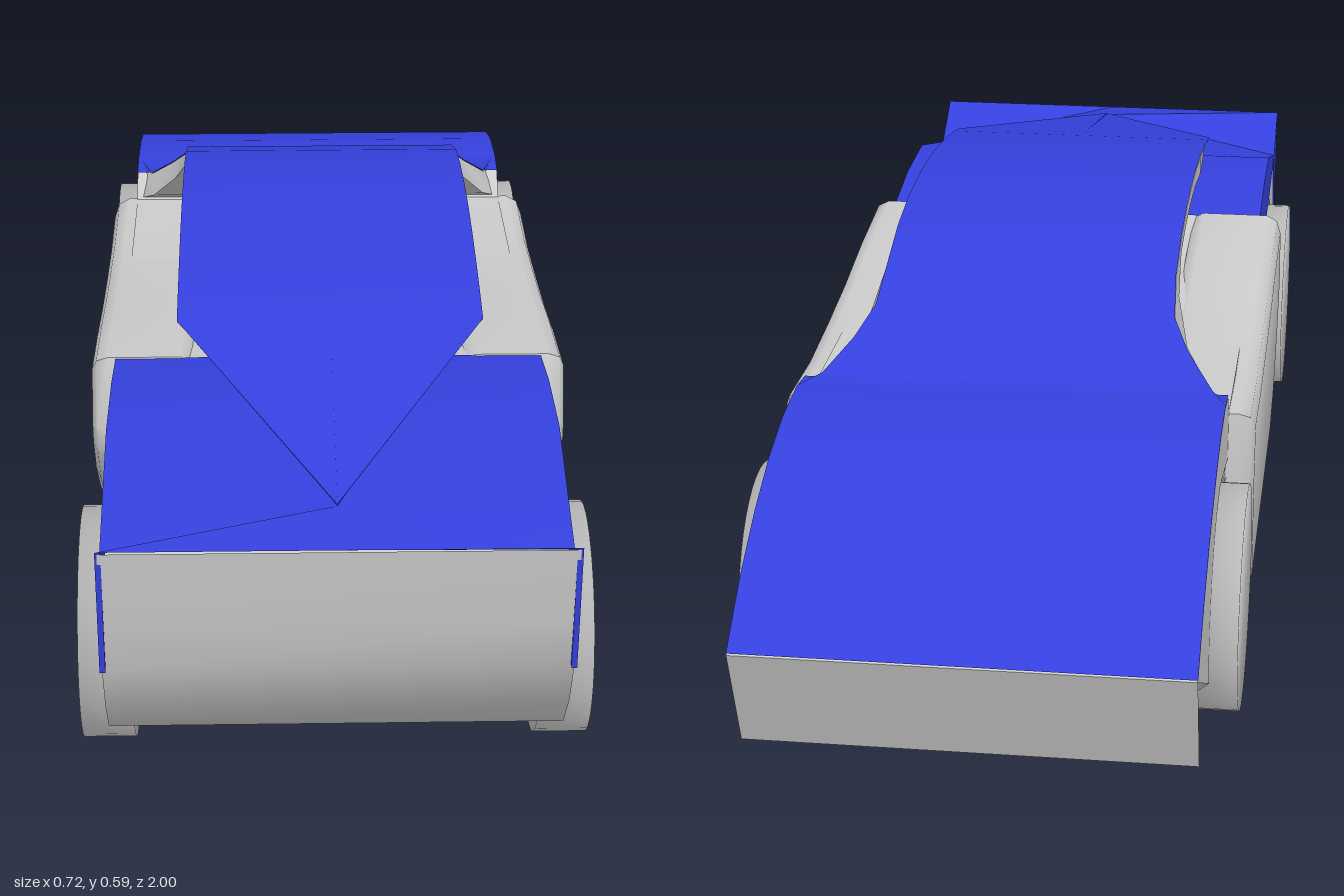
import * as THREE from 'three';
import { mergeVertices, toCreasedNormals } from 'three/addons/utils/BufferGeometryUtils.js';

const GREY = new THREE.MeshStandardMaterial({ color: 0xcccccc, side: THREE.DoubleSide });
const BLUE = new THREE.MeshStandardMaterial({ color: 0x3540dd, side: THREE.DoubleSide });

// Surface through rows of [x, y, z] points
function grid(rows, crease = 0.8) {
  const n = rows[0].length, index = [];
  for (let i = 0; i < rows.length - 1; i++) {
    for (let j = 0; j < n - 1; j++) {
      const a = i * n + j, c = a + n;
      index.push(a, c, a + 1, a + 1, c, c + 1);
    }
  }
  const g = new THREE.BufferGeometry();
  g.setAttribute('position', new THREE.Float32BufferAttribute(rows.flat(2), 3));
  g.setIndex(index);
  return toCreasedNormals(g, crease);
}

// Side outline of [z, y] points, extruded across x from x0 to x1
function sideExtrude(pts, x0, x1, bevel = 0) {
  const shape = new THREE.Shape(pts.map(([z, y]) => new THREE.Vector2(z, y)));
  const g = new THREE.ExtrudeGeometry(shape, {
    depth: x1 - x0 - 2 * bevel, bevelEnabled: bevel > 0, bevelSize: bevel,
    bevelThickness: bevel, bevelOffset: -bevel, bevelSegments: 2,
  });
  return g.rotateY(-Math.PI / 2).translate(x1 - bevel, 0, 0);
}

// Wheel arch points, angles in degrees
function arch(z, r, from, to) {
  return Array.from({ length: 17 }, (_, i) => {
    const a = THREE.MathUtils.degToRad(from + (to - from) * i / 16);
    return [z + r * Math.cos(a), 0.168 + r * Math.sin(a)];
  });
}

export function createModel() {
  const model = new THREE.Group();
  const add = (name, geometry, material = GREY) => {
    const mesh = new THREE.Mesh(geometry, material);
    mesh.name = name;
    model.add(mesh);
  };

  // Bonnet line, from the nose to the cowl
  const bonnet = [[-1, 0.24], [-0.95, 0.276], [-0.9, 0.31], [-0.8, 0.362], [-0.7, 0.4],
    [-0.6, 0.423], [-0.5, 0.43]];

  // Lower body with wheel arches; the belly is drawn in slightly
  const body = sideExtrude([
    [1, 0.433], [0.985, 0.32], [0.972, 0.24], [0.93, 0.16], [0.87, 0.09],
    ...arch(0.71, 0.183, -18, 213),
    ...arch(-0.59, 0.176, -35, 215),
    [-0.935, 0.076], ...bonnet,
    [-0.44, 0.42], [-0.41, 0.385], [-0.1, 0.385], [0.2, 0.41], [0.37, 0.428],
    [0.5, 0.446], [0.66, 0.448], [0.9, 0.378],
  ], -0.32, 0.32);
  const p = body.attributes.position;
  for (let i = 0; i < p.count; i++) {
    if (p.getY(i) < 0.0725) p.setX(i, p.getX(i) * 0.875);
  }
  add('body', toCreasedNormals(body, 0.7));

  // Blue bonnet skin
  add('bonnet', grid([...bonnet, [-0.44, 0.422]].map(([z, y]) =>
    [-0.32, 0, 0.32].map(x => [x, y + 0.003, z]))), BLUE);

  // Roof arch: z, top y, top half width, lower y, lower half width
  const roof = [
    [-0.5, 0.433, 0.32, 0.4, 0.32], [-0.43, 0.428, 0.295, 0.38, 0.32],
    [-0.38, 0.468, 0.255, 0.405, 0.29], [-0.33, 0.503, 0.23, 0.455, 0.25],
    [-0.25, 0.543, 0.225, 0.508, 0.23], [-0.15, 0.572, 0.225, 0.545, 0.225],
    [-0.05, 0.586, 0.225, 0.56, 0.225], [0.05, 0.59, 0.225, 0.564, 0.225],
    [0.15, 0.588, 0.225, 0.56, 0.225], [0.25, 0.579, 0.225, 0.545, 0.225],
    [0.35, 0.565, 0.225, 0.52, 0.22], [0.43, 0.551, 0.225, 0.488, 0.19],
    [0.48, 0.54, 0.225, 0.45, 0.145],
  ];
  add('roof', grid(roof.map(([z, y, h]) => [-h, 0, h].map(x => [x, y, z]))), BLUE);
  add('roofFrame', grid(roof.map(([z, y, h, yb, hb]) =>
    [[h, y - 0.002, z], [hb, yb, z], [-hb, yb, z], [-h, y - 0.002, z]])));

  // Tapered tail of the roof, running down to a point on the deck
  add('roofTail', grid([
    [[-0.14, 0.45, 0.5], [-0.225, 0.54, 0.48], [0, 0.54, 0.48], [0.225, 0.54, 0.48], [0.14, 0.45, 0.5]],
    [[0, 0.45, 0.9], [0, 0.452, 0.9], [0, 0.453, 0.9], [0, 0.452, 0.9], [0, 0.45, 0.9]],
  ], 0.4), BLUE);

  // Tail deck: z, centre y, edge y
  const deck = [[0.37, 0.431, 0.431], [0.5, 0.45, 0.449], [0.66, 0.45, 0.45],
    [0.9, 0.45, 0.38], [1, 0.436, 0.436]];
  add('tailDeck', grid(deck.map(([z, c, e]) =>
    [[-0.322, e, z], [0, c, z], [0.322, e, z]]), 0.5), BLUE);

  const quarter = [[0.37, 0.431], [0.41, 0.33], [0.55, 0.337], [0.72, 0.352], [0.9, 0.38],
    [0.66, 0.45], [0.5, 0.449]];
  const winglet = [[1, 0.436], [0.9, 0.38], [0.978, 0.24]];
  const door = [[0.415, 0.33], [0.375, 0.434], [0.2, 0.42], [0.05, 0.4], [-0.1, 0.387],
    [-0.25, 0.378], [-0.415, 0.385], [-0.425, 0.26], [-0.4, 0.08], [0.17, 0.095],
    [0.27, 0.135], [0.36, 0.215], [0.41, 0.29]];

  for (const [side, s] of [['left', 1], ['right', -1]]) {
    const panel = (pts, inner, outer, bevel) => s > 0
      ? sideExtrude(pts, inner, outer, bevel) : sideExtrude(pts, -outer, -inner, bevel);
    add(side + 'QuarterPanel', panel(quarter, 0.315, 0.323), BLUE);
    add(side + 'Winglet', panel(winglet, 0.315, 0.323), BLUE);
    add(side + 'Door', toCreasedNormals(panel(door, 0.2, 0.36, 0.025), 0.8));

    // Wheels with normals smoothed over the rim
    for (const [end, z] of [['front', 0.707], ['back', -0.59]]) {
      const g = new THREE.CylinderGeometry(0.167, 0.167, 0.075, 40);
      g.deleteAttribute('normal');
      g.deleteAttribute('uv');
      const wheel = mergeVertices(g);
      wheel.computeVertexNormals();
      wheel.rotateZ(Math.PI / 2).translate(s * 0.3225, 0.168, z);
      add(side + end[0].toUpperCase() + end.slice(1) + 'Wheel', wheel);
    }
  }
  return model;
}
